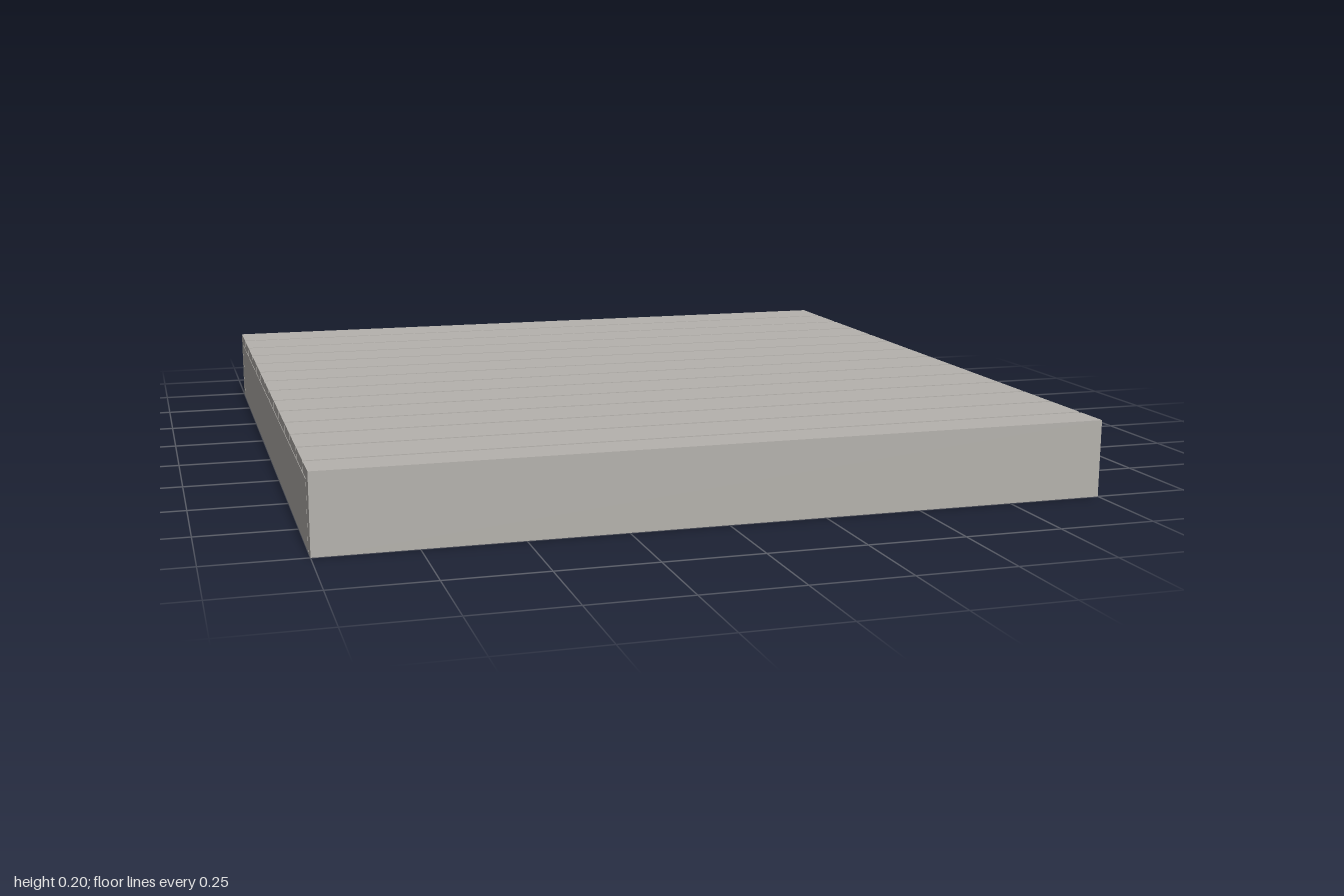
import * as THREE from 'three';

const HEIGHT = 0.2, HALF = 1;
const BOARD_BOTTOM = 0.173;
const RIM_INNER = 0.955;
const GAP = 0.009, PITCH = 0.1461, FIRST_GAP = -0.859, GAP_COUNT = 13;

export function createModel() {
  const deck = new THREE.Group();
  deck.name = 'deckPlatform';
  const wood = new THREE.MeshStandardMaterial({ color: 0xb5b2ad });
  wood.name = 'weatheredGrey';

  const add = (name, geometry) => {
    const mesh = new THREE.Mesh(geometry, wood);
    mesh.name = name;
    deck.add(mesh);
    return mesh;
  };

  const beam = (name, x0, x1, y0, y1, z0, z1) =>
    add(name, new THREE.BoxGeometry(x1 - x0, y1 - y0, z1 - z0))
      .position.set((x0 + x1) / 2, (y0 + y1) / 2, (z0 + z1) / 2);

  // Rim beam and end board as one L-shaped section, swept across the width
  const rim = (name, side, boardEdge) => {
    const points = [
      [side * RIM_INNER, 0], [side * HALF, 0], [side * HALF, HEIGHT],
      [boardEdge, HEIGHT], [boardEdge, BOARD_BOTTOM], [side * RIM_INNER, BOARD_BOTTOM],
    ].map(([z, y]) => new THREE.Vector2(z, y));
    const geometry = new THREE.ExtrudeGeometry(new THREE.Shape(points), { depth: 2 * HALF, bevelEnabled: false });
    geometry.rotateY(-Math.PI / 2).translate(HALF, 0, 0);
    add(name, geometry);
  };

  const gapAt = (i) => FIRST_GAP + i * PITCH;
  rim('backRim', -1, gapAt(0) - GAP / 2);
  rim('frontRim', 1, gapAt(GAP_COUNT - 1) + GAP / 2);

  // Inner deck boards
  for (let i = 0; i < GAP_COUNT - 1; i++) {
    beam(`deckBoard${i + 1}`, -HALF, HALF, BOARD_BOTTOM, HEIGHT, gapAt(i) + GAP / 2, gapAt(i + 1) - GAP / 2);
  }

  // Four joists running front to back
  [-0.9775, -0.3225, 0.3225, 0.9775].forEach((x, i) => {
    beam(`joist${i + 1}`, x - 0.0225, x + 0.0225, 0, 0.17, -0.951, 0.951);
  });

  return deck;
}
